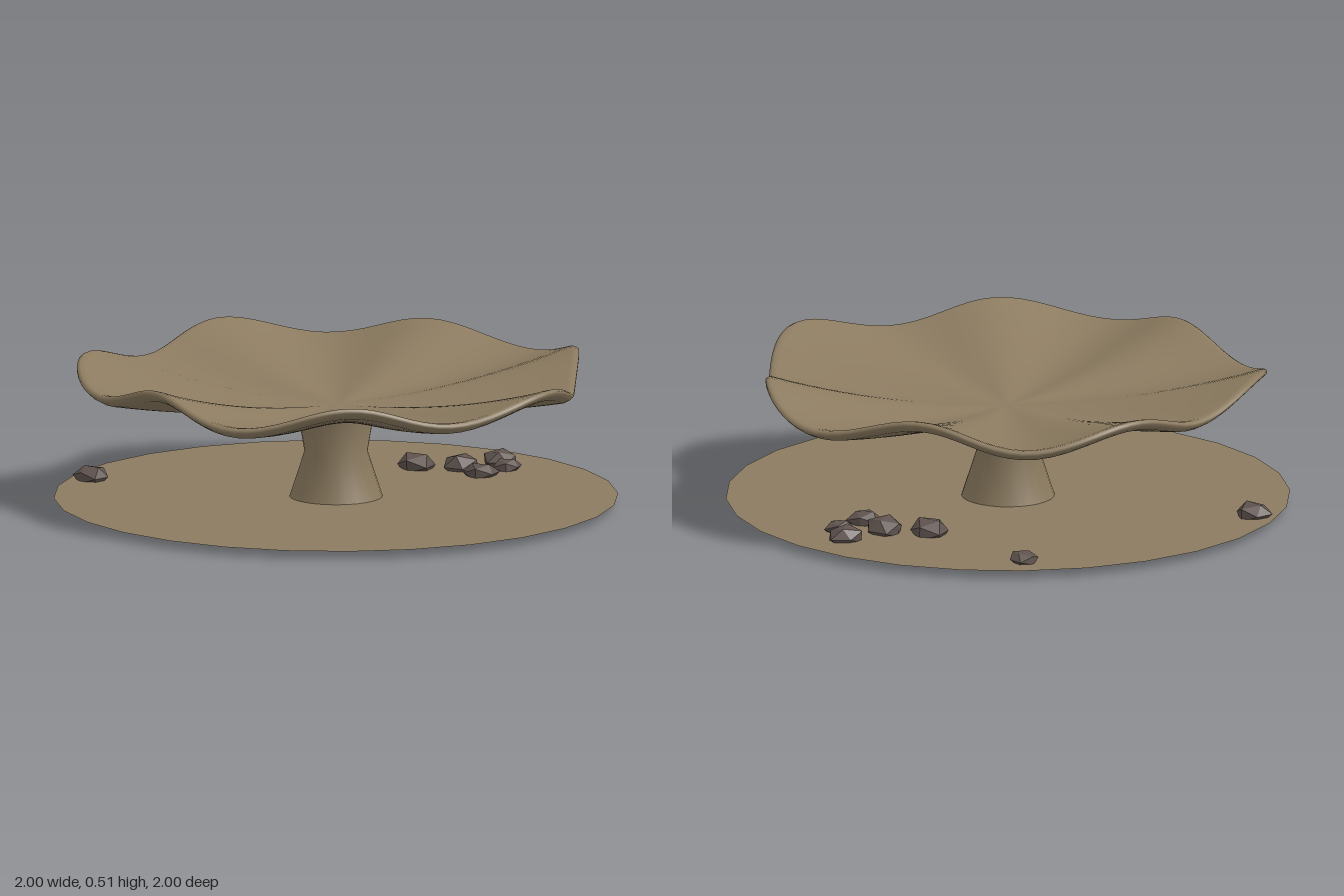
import * as THREE from 'three';
import { mergeVertices } from 'three/addons/utils/BufferGeometryUtils.js';

const rad = THREE.MathUtils.degToRad;

// Rim radius at angle a: five soft lobes, slightly off centre
const rimRadius = (a) => 0.885 + 0.041 * Math.cos(5 * (a + rad(10))) + 0.008 * Math.cos(a - rad(280));

// Wavy cap: a thin turned dish whose vertices follow five lobes and seven waves
function capGeometry() {
  const points = [];
  const rows = 14;
  for (let i = 0; i <= rows; i++) {
    const t = (i / rows) * 0.96;
    points.push(new THREE.Vector2(t, 0.347 + 0.105 * t * t));
  }
  // rounded lip
  [[0.985, 0.457], [0.998, 0.469], [0.998, 0.479], [0.985, 0.485], [0.965, 0.482]].forEach(([r, y]) =>
    points.push(new THREE.Vector2(r, y)));
  for (let i = rows - 1; i >= 0; i--) {
    const t = (i / rows) * 0.96;
    points.push(new THREE.Vector2(t, 0.367 + 0.122 * t * t));
  }
  let geometry = new THREE.LatheGeometry(points, 112);
  const p = geometry.attributes.position;
  for (let i = 0; i < p.count; i++) {
    const x = p.getX(i), z = p.getZ(i);
    const t = Math.hypot(x, z);
    const a = Math.atan2(z, x);
    const r = rimRadius(a);
    const wave = -0.038 * Math.sin(7 * a) * Math.pow(t, 1.4);
    p.setXYZ(i, x * r, p.getY(i) + wave, z * r);
  }
  geometry.deleteAttribute('uv');
  geometry.deleteAttribute('normal');
  geometry = mergeVertices(geometry, 1e-5);
  geometry.computeVertexNormals();
  return geometry;
}

// Angular pebble: a flattened, slightly uneven icosahedron
function rockGeometry(seed) {
  const geometry = new THREE.IcosahedronGeometry(1, 0);
  const p = geometry.attributes.position;
  for (let i = 0; i < p.count; i++) {
    const x = p.getX(i), y = p.getY(i), z = p.getZ(i);
    const k = 1 + 0.1 * Math.sin(5 * x + 7 * y + 9 * z + seed * 2.3);
    p.setXYZ(i, x * k, y * k, z * k);
  }
  geometry.computeVertexNormals();
  return geometry;
}

export function createModel() {
  const group = new THREE.Group();
  const tan = new THREE.MeshStandardMaterial({ color: 0x8c7b60, side: THREE.DoubleSide });
  tan.name = 'tan';
  const stone = new THREE.MeshStandardMaterial({ color: 0x5f534e, flatShading: true });
  stone.name = 'stone';

  const add = (name, geometry, material) => {
    const mesh = new THREE.Mesh(geometry, material);
    mesh.name = name;
    group.add(mesh);
    return mesh;
  };

  // Flat ground disc, open under the stem
  add('groundDisc', new THREE.RingGeometry(0.165, 1, 28).rotateX(-Math.PI / 2).translate(0, 0.037, 0), tan);

  // Waisted hollow stem
  const stemProfile = [[0.165, 0.037], [0.112, 0.2], [0.138, 0.352]].map(([r, y]) => new THREE.Vector2(r, y));
  add('stem', new THREE.LatheGeometry(stemProfile, 28), tan);

  add('wavyCap', capGeometry(), tan);

  // Scattered rocks: x, z, radius, half height
  [
    [-0.79, 0.46, 0.068, 0.04],
    [-0.69, -0.545, 0.058, 0.03],
    [-0.19, -0.545, 0.076, 0.043],
    [-0.07, -0.65, 0.076, 0.048],
    [0.065, -0.625, 0.066, 0.036],
    [-0.05, -0.82, 0.07, 0.038],
    [0.045, -0.765, 0.054, 0.032],
  ].forEach(([x, z, r, h], i) => {
    const rock = add('rock' + (i + 1), rockGeometry(i), stone);
    rock.scale.set(r, h, r * 0.95);
    rock.rotation.y = i * 1.7;
    rock.position.set(x, 0.049, z);
  });

  return group;
}
